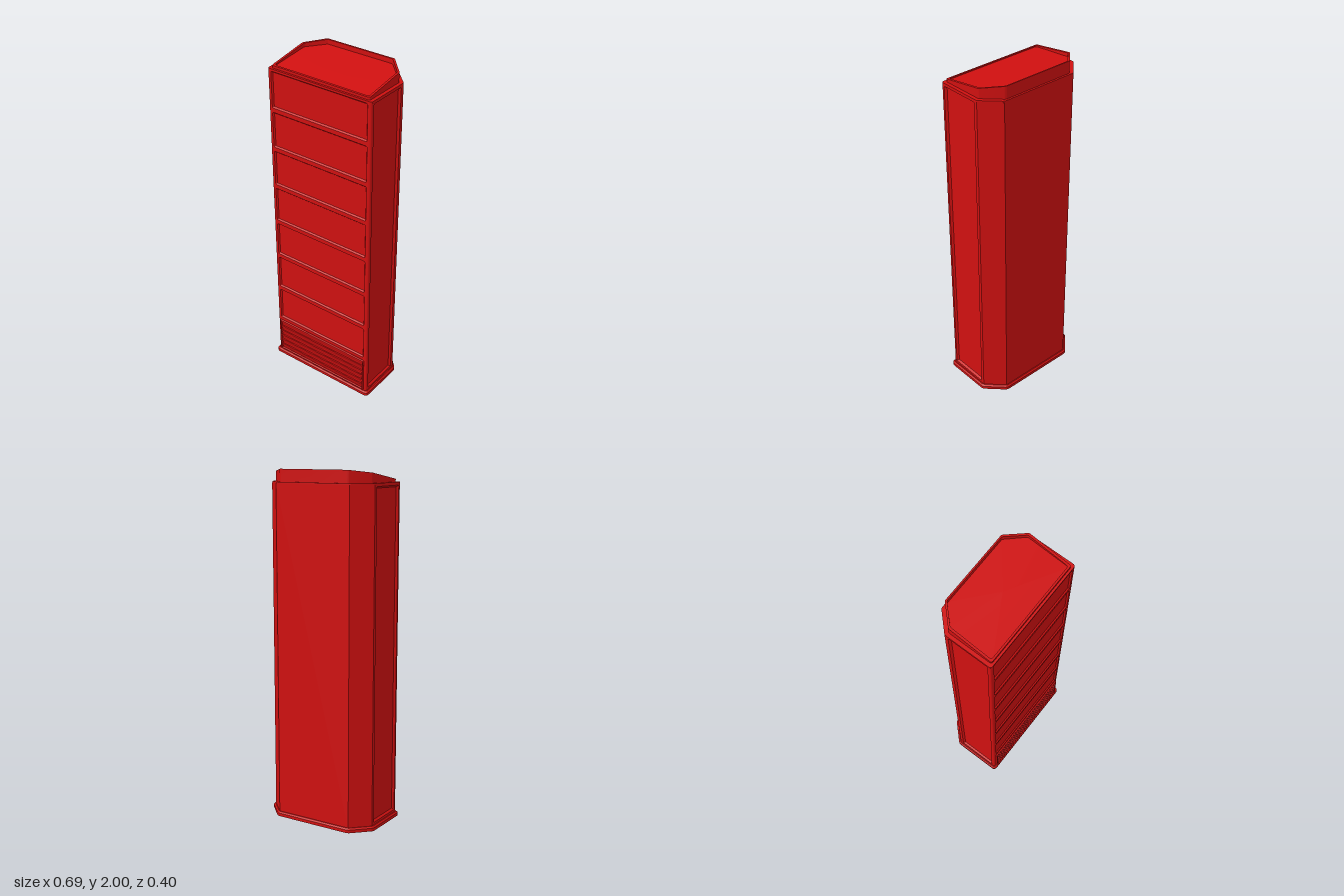
import * as THREE from 'three';
import { toCreasedNormals } from 'three/addons/utils/BufferGeometryUtils.js';

const red = new THREE.MeshStandardMaterial({ color: 0xd01010 });

// Closed shape from corners [x, y, radius], each corner rounded
function roundedShape(corners, Type = THREE.Shape) {
  const shape = new Type();
  const n = corners.length;
  corners.forEach(([x, y, r], i) => {
    const p = new THREE.Vector2(x, y);
    const toward = ([qx, qy]) => new THREE.Vector2(qx, qy).sub(p).normalize().multiplyScalar(r).add(p);
    const a = toward(corners[(i + n - 1) % n]);
    const b = toward(corners[(i + 1) % n]);
    if (i === 0) shape.moveTo(a.x, a.y);
    else shape.lineTo(a.x, a.y);
    if (r > 0) shape.quadraticCurveTo(x, y, b.x, b.y);
  });
  shape.closePath();
  return shape;
}

const rect = (x0, x1, y0, y1, r, Type) =>
  roundedShape([[x0, y0, r], [x1, y0, r], [x1, y1, r], [x0, y1, r]], Type);

// Floor plan with chamfered back corners, drawn as (x, -z)
function plan(w, front, back, chamfer, r) {
  return roundedShape([
    [-w, -front, r], [w, -front, r], [w, back - chamfer, r * 0.6], [w - chamfer, back, r * 0.6],
    [-w + chamfer, back, r * 0.6], [-w, back - chamfer, r * 0.6],
  ]);
}

// Skin through stacked plans; each ring has a height rule y(z), a zero scale closes it
function loft(rings) {
  const rows = rings.map(({ shape, y, scale = 1 }) => {
    const pts = shape.getPoints(5);
    if (pts[0].distanceTo(pts[pts.length - 1]) < 1e-6) pts.pop();
    return pts.map((p) => [p.x * scale, y(-p.y * scale), -p.y * scale]);
  });
  const pos = [];
  for (let k = 0; k + 1 < rows.length; k++) {
    const lo = rows[k], hi = rows[k + 1], n = lo.length;
    for (let i = 0; i < n; i++) {
      const j = (i + 1) % n;
      if (rings[k].scale !== 0) pos.push(...lo[i], ...lo[j], ...hi[j]);
      if (rings[k + 1].scale !== 0) pos.push(...lo[i], ...hi[j], ...hi[i]);
    }
  }
  const geo = new THREE.BufferGeometry();
  geo.setAttribute('position', new THREE.Float32BufferAttribute(pos, 3));
  return toCreasedNormals(geo, 0.5);
}

function prism(shape, y0, y1) {
  const geo = new THREE.ExtrudeGeometry(shape, { depth: y1 - y0, bevelEnabled: false, curveSegments: 5 });
  return toCreasedNormals(geo.rotateX(-Math.PI / 2).translate(0, y0, 0), 0.5);
}

// Plate whose openings slope inwards; its face lies at z = 0
function plate(outer, holes, thick, slope) {
  outer.holes.push(...holes);
  const geo = new THREE.ExtrudeGeometry(outer, {
    depth: 0.002, bevelThickness: thick, bevelSize: slope, bevelSegments: 1, curveSegments: 4,
  });
  return geo.translate(0, 0, -thick - 0.002);
}

export function createModel() {
  const group = new THREE.Group();
  const add = (name, geo) => {
    const mesh = new THREE.Mesh(geo, red);
    mesh.name = name;
    group.add(mesh);
    return mesh;
  };
  const flat = (h) => () => h;

  // Plinth with a softened upper edge
  const foot = plan(0.347, 0.2, 0.2, 0.106, 0.024);
  const footTop = plan(0.339, 0.192, 0.192, 0.103, 0.022);
  add('plinth', loft([
    { shape: foot, y: flat(0), scale: 0 },
    { shape: foot, y: flat(0) },
    { shape: foot, y: flat(0.018) },
    { shape: footTop, y: flat(0.026) },
    { shape: footTop, y: flat(0.026), scale: 0 },
  ]));

  // Cabinet core, set back behind the front and side plates
  const half = [
    [0.318, -0.179, 0], [0.318, -0.187, 0], [0.333, -0.187, 0.0145], [0.333, -0.172, 0],
    [0.321, -0.172, 0], [0.321, 0.075, 0], [0.333, 0.075, 0], [0.333, 0.089, 0], [0.236, 0.186, 0],
  ];
  const mirrored = half.map(([x, y, r]) => [-x, y, r]).reverse();
  add('cabinetCore', prism(roundedShape([...half, ...mirrored]), 0.02, 1.922));
  add('cabinetTop', prism(plan(0.333, 0.187, 0.186, 0.097, 0.015), 1.92, 1.93));

  // Front with seven recessed panels
  const panels = [];
  for (let i = 0; i < 7; i++) {
    const y = 0.28 + i * 0.2375;
    panels.push(rect(-0.31, 0.31, y, y + 0.212, 0.01, THREE.Path));
  }
  add('frontPanels', plate(rect(-0.318, 0.318, 0.021, 1.92, 0), panels, 0.008, 0.007))
    .position.z = 0.187;

  // Sides, each with one tall recessed panel
  for (const s of [1, -1]) {
    const span = (z0, z1) => (s > 0 ? [-z1, -z0] : [z0, z1]);
    const geo = plate(
      rect(...span(-0.075, 0.172), 0.024, 1.92, 0),
      [rect(...span(-0.069, 0.166), 0.04, 1.913, 0.008, THREE.Path)], 0.012, 0.009);
    const side = add(s > 0 ? 'leftSidePanel' : 'rightSidePanel', geo);
    side.rotation.y = (s * Math.PI) / 2;
    side.position.x = s * 0.333;
  }

  // Ventilation grille: frame and downward-facing slats
  add('grilleFrame', plate(
    rect(-0.312, 0.312, 0.034, 0.256, 0.003),
    [rect(-0.307, 0.307, 0.039, 0.251, 0.003, THREE.Path)], 0.006, 0.003)).position.z = 0.196;
  const slats = 6, bottom = 0.037, pitch = 0.036;
  const profile = new THREE.Shape().moveTo(0.175, bottom);
  for (let i = 0; i < slats; i++) {
    const y = bottom + i * pitch;
    profile.lineTo(0.184, y);
    profile.lineTo(0.195, y + pitch * 0.85);
    profile.lineTo(0.195, y + pitch);
  }
  profile.lineTo(0.175, bottom + slats * pitch);
  const slatGeo = new THREE.ExtrudeGeometry(profile, { depth: 0.616, bevelEnabled: false });
  add('grilleSlats', slatGeo.rotateY(-Math.PI / 2).translate(0.308, 0, 0));

  // Sloping cap with a shallow recess that deepens towards the back
  const rimY = (z) => 1.945 + (0.175 - z) * 0.157;
  const floorY = (z) => 1.94 + (0.165 - z) * 0.095;
  const outer = plan(0.313, 0.175, 0.175, 0.096, 0.012);
  const inner = plan(0.3, 0.164, 0.167, 0.09, 0.012);
  add('cap', loft([
    { shape: outer, y: flat(1.925) },
    { shape: outer, y: rimY },
    { shape: inner, y: rimY },
    { shape: inner, y: floorY },
    { shape: inner, y: floorY, scale: 0 },
  ]));

  return group;
}
